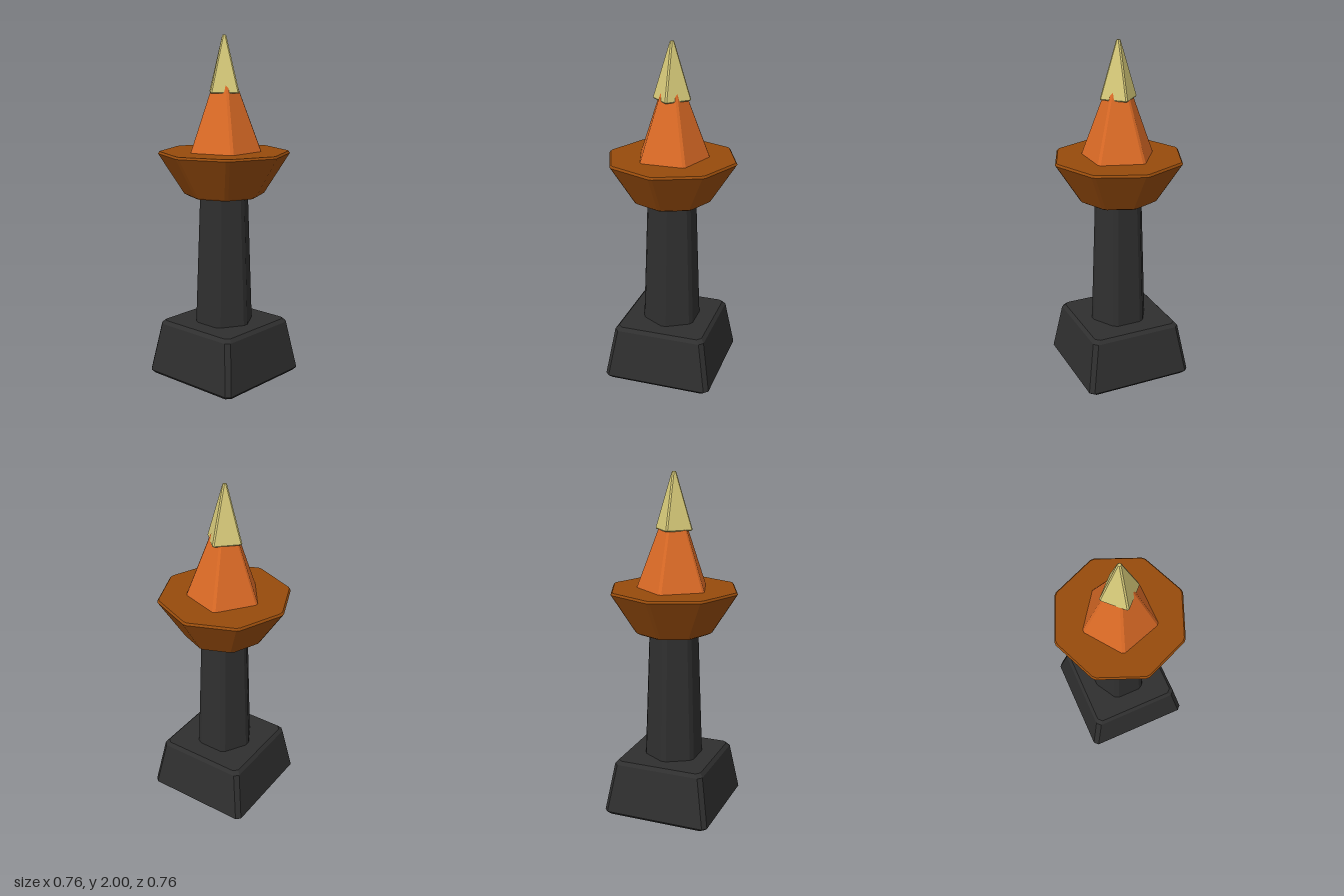
import * as THREE from 'three';

// Outline of a regular polygon with each corner cut off by a small chamfer
function chamferedRing(sides, turn, r, y, cut) {
  const corner = (i) => {
    const a = turn + (i * 2 * Math.PI) / sides;
    return new THREE.Vector3(Math.sin(a) * r, y, Math.cos(a) * r);
  };
  const edge = 2 * r * Math.sin(Math.PI / sides);
  const t = Math.min(cut / edge, 0.3);
  const ring = [];
  for (let i = 0; i < sides; i++) {
    ring.push(corner(i).lerp(corner(i - 1), t), corner(i).lerp(corner(i + 1), t));
  }
  return ring;
}

// Closed flat-shaded solid through a stack of [radius, height] sections
function bevelledSolid(sides, turn, cut, sections) {
  const rings = sections.map(([r, y]) => chamferedRing(sides, turn, r, y, cut));
  const n = sides * 2;
  const pos = [];
  const tri = (...points) => points.forEach((p) => pos.push(p.x, p.y, p.z));
  for (let k = 0; k < rings.length - 1; k++) {
    const low = rings[k];
    const high = rings[k + 1];
    for (let i = 0; i < n; i++) {
      const j = (i + 1) % n;
      tri(low[i], low[j], high[j]);
      tri(low[i], high[j], high[i]);
    }
  }
  const first = rings[0];
  const last = rings[rings.length - 1];
  const bottom = new THREE.Vector3(0, sections[0][1], 0);
  const top = new THREE.Vector3(0, sections[sections.length - 1][1], 0);
  for (let i = 0; i < n; i++) {
    const j = (i + 1) % n;
    tri(bottom, first[j], first[i]);
    tri(top, last[i], last[j]);
  }
  const geometry = new THREE.BufferGeometry();
  geometry.setAttribute('position', new THREE.Float32BufferAttribute(pos, 3));
  geometry.computeVertexNormals();
  return geometry;
}

function material(name, color) {
  const m = new THREE.MeshStandardMaterial({ color });
  m.name = name;
  return m;
}

export function createModel() {
  const model = new THREE.Group();
  model.name = 'torchPedestal';

  const stone = material('charcoal stone', 0x2f2f2f);
  const bronze = material('brown bowl', 0x964b0c);
  const orange = material('orange flame', 0xdc6b26);
  const yellow = material('pale yellow flame', 0xd8cb7a);

  const add = (name, geometry, mat) => {
    const mesh = new THREE.Mesh(geometry, mat);
    mesh.name = name;
    model.add(mesh);
  };

  // Square foot, turned so its flats face the axes
  const diag = Math.SQRT2;
  add('base', bevelledSolid(4, Math.PI / 4, 0.024, [
    [0.305 * diag, 0], [0.323 * diag, 0.02], [0.275 * diag, 0.31], [0.257 * diag, 0.33],
  ]), stone);

  // Tapered six-sided column
  add('column', bevelledSolid(6, 0, 0.018, [[0.179, 0.325], [0.15, 1.1]]), stone);

  // Eight-sided fire bowl
  add('bowl', bevelledSolid(8, 0, 0.012, [
    [0.215, 1.088], [0.237, 1.1], [0.385, 1.333], [0.376, 1.345],
  ]), bronze);

  // Five-sided outer flame, one corner pointing back
  add('outerFlame', bevelledSolid(5, Math.PI, 0.012, [[0.223, 1.338], [0.02, 1.874]]), orange);

  // Four-sided flame tip over the outer flame
  add('flameTip', bevelledSolid(4, 0, 0.008, [
    [0.11, 1.677], [0.115, 1.683], [0.017, 1.994], [0.012, 2],
  ]), yellow);

  return model;
}
